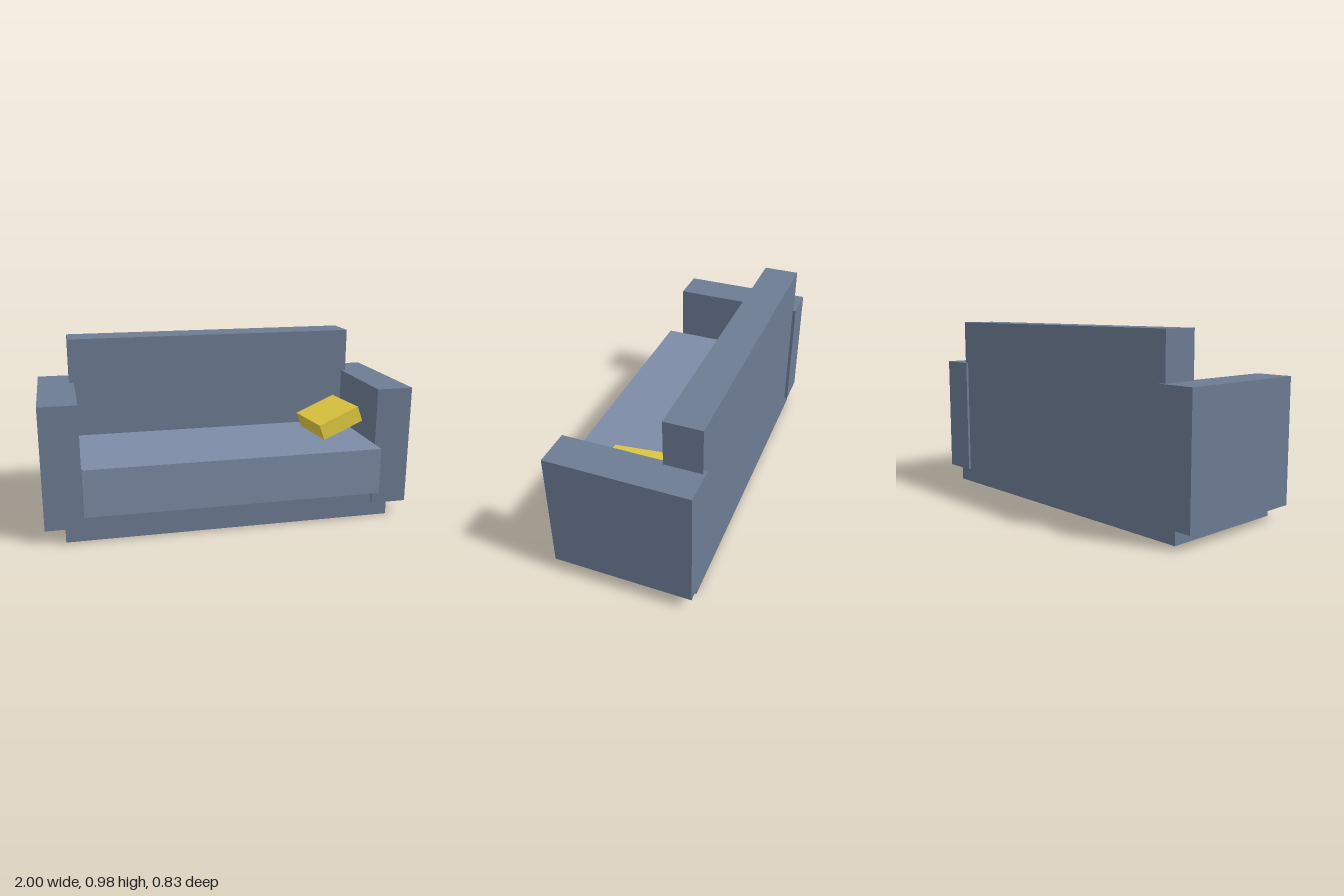
import * as THREE from 'three';

export function createModel() {
  const sofa = new THREE.Group();
  sofa.name = 'sofa';

  const frameMat = new THREE.MeshStandardMaterial({ color: 0x6d7c94 });
  const seatMat = new THREE.MeshStandardMaterial({ color: 0x7c8ca6 });
  const pillowMat = new THREE.MeshStandardMaterial({ color: 0xe3cb42 });

  // Box given by its [min, max] range on each axis
  function block(name, x, y, z, material) {
    const size = [x, y, z].map(([a, b]) => b - a);
    const mesh = new THREE.Mesh(new THREE.BoxGeometry(...size), material);
    mesh.position.set(...[x, y, z].map(([a, b]) => (a + b) / 2));
    mesh.name = name;
    sofa.add(mesh);
    return mesh;
  }

  // Plinth, backrest and seat
  block('base', [-0.895, 0.895], [0, 0.17], [-0.4, 0.315], frameMat);
  block('backrest', [-0.825, 0.825], [0.17, 0.98], [-0.4, -0.205], frameMat);
  block('seatCushion', [-0.8, 0.8], [0.17, 0.424], [-0.21, 0.415], seatMat);

  // Armrests, the right one set slightly further back
  block('leftArmrest', [0.8, 1], [0.077, 0.735], [-0.413, 0.33], frameMat);
  block('rightArmrest', [-1, -0.8], [0.077, 0.735], [-0.418, 0.325], frameMat);

  // Throw pillow leaning on the left armrest
  const pillow = new THREE.Mesh(new THREE.BoxGeometry(0.254, 0.092, 0.304), pillowMat);
  pillow.name = 'throwPillow';
  pillow.position.set(0.643, 0.511, 0.022);
  pillow.rotation.set(0, 0.118, 0.365, 'YXZ');
  sofa.add(pillow);

  return sofa;
}
